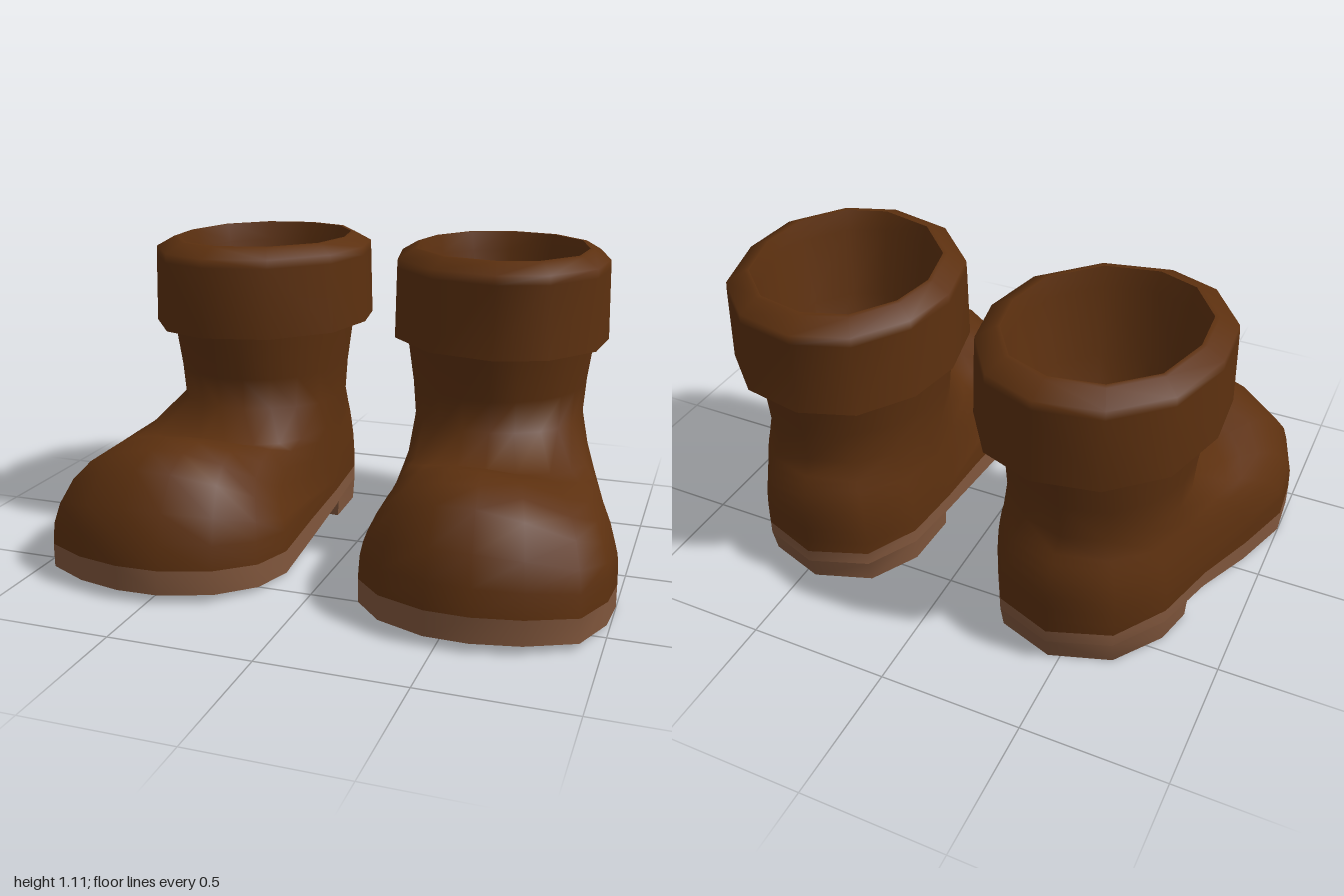
import * as THREE from 'three';

const leather = new THREE.MeshStandardMaterial({ color: 0x5c300f });
leather.name = 'brown leather';
const rubber = new THREE.MeshStandardMaterial({ color: 0x80563c });
rubber.name = 'tan sole';

// Outlines in plan as [x, z], from the front around the outer side
const FOOT = [[0.61, 0.74], [0.77, 0.7], [0.93, 0.61], [0.99, 0.43], [1, 0.27], [0.93, 0.05],
  [0.85, -0.2], [0.79, -0.45], [0.67, -0.63], [0.46, -0.705], [0.26, -0.63], [0.165, -0.45],
  [0.155, -0.2], [0.165, 0.05], [0.14, 0.37], [0.18, 0.53], [0.29, 0.66], [0.46, 0.735]];
const ANGLES = [8, 24, 42, 56, 70, 84, 102, 126, 152, 180, 208, 234, 258, 276, 296, 314, 332, 350];
const CUFF = [[0.535, 0.172], [0.71, 0.108], [0.845, -0.08], [0.86, -0.3], [0.79, -0.545],
  [0.625, -0.7], [0.41, -0.742], [0.225, -0.675], [0.105, -0.5], [0.07, -0.3], [0.12, -0.07],
  [0.3, 0.118]];

// Heights of the sole along z, read from a short table
const SOLE_TOP = [[-0.75, 0.135], [-0.35, 0.14], [-0.2, 0.12], [0, 0.09], [0.2, 0.08], [0.5, 0.095], [0.74, 0.12]];
const SOLE_BOTTOM = [[-0.75, 0.09], [-0.3, 0.085], [-0.1, 0.03], [0.12, 0], [0.3, 0.004], [0.5, 0.012], [0.74, 0.032]];
function heightAt(table, z) {
  for (let i = 1; i < table.length; i++) {
    const [z0, y0] = table[i - 1], [z1, y1] = table[i];
    if (z <= z1) return y0 + (y1 - y0) * (z - z0) / (z1 - z0);
  }
  return table[table.length - 1][1];
}

// Mesh from points and triangles, mirrored for the other foot
function build(name, points, tris, side, material) {
  const g = new THREE.BufferGeometry();
  const pos = points.flatMap(([x, y, z]) => [x * side, y, z]);
  g.setAttribute('position', new THREE.Float32BufferAttribute(pos, 3));
  g.setIndex(tris.flatMap(([a, b, c]) => (side > 0 ? [a, b, c] : [a, c, b])));
  g.computeVertexNormals();
  const mesh = new THREE.Mesh(g, material);
  mesh.name = name;
  return mesh;
}

// Skin over a stack of closed rings
function loft(name, rings, side, material) {
  const n = rings[0].length, tris = [];
  for (let r = 0; r < rings.length - 1; r++) {
    for (let i = 0; i < n; i++) {
      const a = r * n + i, b = r * n + (i + 1) % n;
      tris.push([a, b, b + n], [a, b + n, a + n]);
    }
  }
  return build(name, rings.flat(), tris, side, material);
}

const cuffRing = ([s, y]) => CUFF.map(([x, z]) => [0.465 + (x - 0.465) * s, y, -0.29 + (z + 0.29) * s]);

// Body ring: t blends the foot outline into the ankle oval, with own heights at back, sides and front
function bodyRing([t, grow, yBack, ySide, yFront]) {
  return FOOT.map(([fx, fz], i) => {
    const a = THREE.MathUtils.degToRad(ANGLES[i]);
    const cos = Math.cos(a), sin = Math.sin(a);
    const w = Math.max(0, cos) ** 1.2;
    const k = t * (w + (1 - w) * t);
    // the inner side of the toe dome rounds over before meeting the shaft
    const pinch = 0.07 * Math.sin(Math.PI * t) * Math.max(0, -sin) * Math.min(1, 2 * Math.max(0, cos));
    const x = fx + (0.47 + 0.31 * grow * sin - fx) * k + pinch;
    const z = fz + (-0.27 + 0.36 * grow * cos - fz) * k;
    return [x, ySide + ((cos > 0 ? yFront : yBack) - ySide) * cos * cos, z];
  });
}

function createBoot(name, side) {
  const boot = new THREE.Group();
  boot.name = name;

  // Foot, instep and shaft in one skin
  const base = FOOT.map(([x, z]) => [x, heightAt(SOLE_TOP, z), z]);
  const rings = [
    [0.02, 1, 0.19, 0.15, 0.21], [0.08, 1, 0.24, 0.172, 0.31], [0.2, 1, 0.29, 0.195, 0.425],
    [0.34, 1, 0.335, 0.245, 0.47], [0.5, 1, 0.375, 0.295, 0.48], [0.66, 1, 0.41, 0.354, 0.455],
    [0.79, 1, 0.44, 0.393, 0.41], [1, 1, 0.495, 0.495, 0.505],
    [1, 1.03, 0.62, 0.62, 0.62], [1, 1.11, 0.8, 0.8, 0.8],
  ].map(bodyRing);
  boot.add(loft('bootBody', [base, ...rings], side, leather));

  // Folded cuff and its underside
  boot.add(loft('cuff', [[1, 0.785], [0.985, 1.04], [0.98, 1.072], [0.83, 1.107], [0.79, 1.108]].map(cuffRing), side, leather));
  boot.add(loft('cuffUnderside', [[0.78, 0.778], [1, 0.785]].map(cuffRing), side, leather));

  // Hollow inside, narrowing to a rounded floor
  boot.add(loft('lining', [[0.79, 1.108], [0.75, 1.04], [0.66, 0.8], [0.52, 0.56],
    [0.3, 0.42], [0.001, 0.38]].map(cuffRing), side, leather));

  // Sole edge
  const under = FOOT.map(([x, z]) => [x, heightAt(SOLE_BOTTOM, z), z]);
  boot.add(loft('soleEdge', [under, base], side, rubber));

  // Sole underside: strips across the foot
  const n = FOOT.length, strips = [];
  for (let i = 0; i < n / 2; i++) {
    const a = i, b = i + 1, c = n - 1 - i, d = (n - i) % n;
    if (b !== c) strips.push([a, c, b]);
    if (d !== a) strips.push([a, d, c]);
  }
  boot.add(build('soleUnderside', under, strips, side, rubber));

  // Heel block with a slanted front edge
  const heel = [[0.824, -0.305], ...FOOT.slice(7, 12), [0.156, -0.23]];
  const high = heel.map(([x, z]) => [x, heightAt(SOLE_BOTTOM, z), z]);
  const low = heel.map(([x, z]) => [0.47 + (x - 0.47) * 0.985, 0, z < -0.4 ? -0.35 + (z + 0.35) * 0.93 : z]);
  const wall = [], cap = [], last = heel.length - 1;
  for (let i = 0; i < last; i++) wall.push([i, i + 1, i + 8], [i, i + 8, i + 7]);
  for (let i = 1; i < last; i++) cap.push([0, i + 1, i]);
  boot.add(build('heelEdge', [...low, ...high], wall, side, rubber));
  boot.add(build('heelFront', [low[last], low[0], high[0], high[last]], [[0, 1, 2], [0, 2, 3]], side, rubber));
  boot.add(build('heelUnderside', low, cap, side, rubber));

  return boot;
}

export function createModel() {
  const model = new THREE.Group();
  model.name = 'boots';
  model.add(createBoot('leftBoot', 1), createBoot('rightBoot', -1));
  return model;
}
